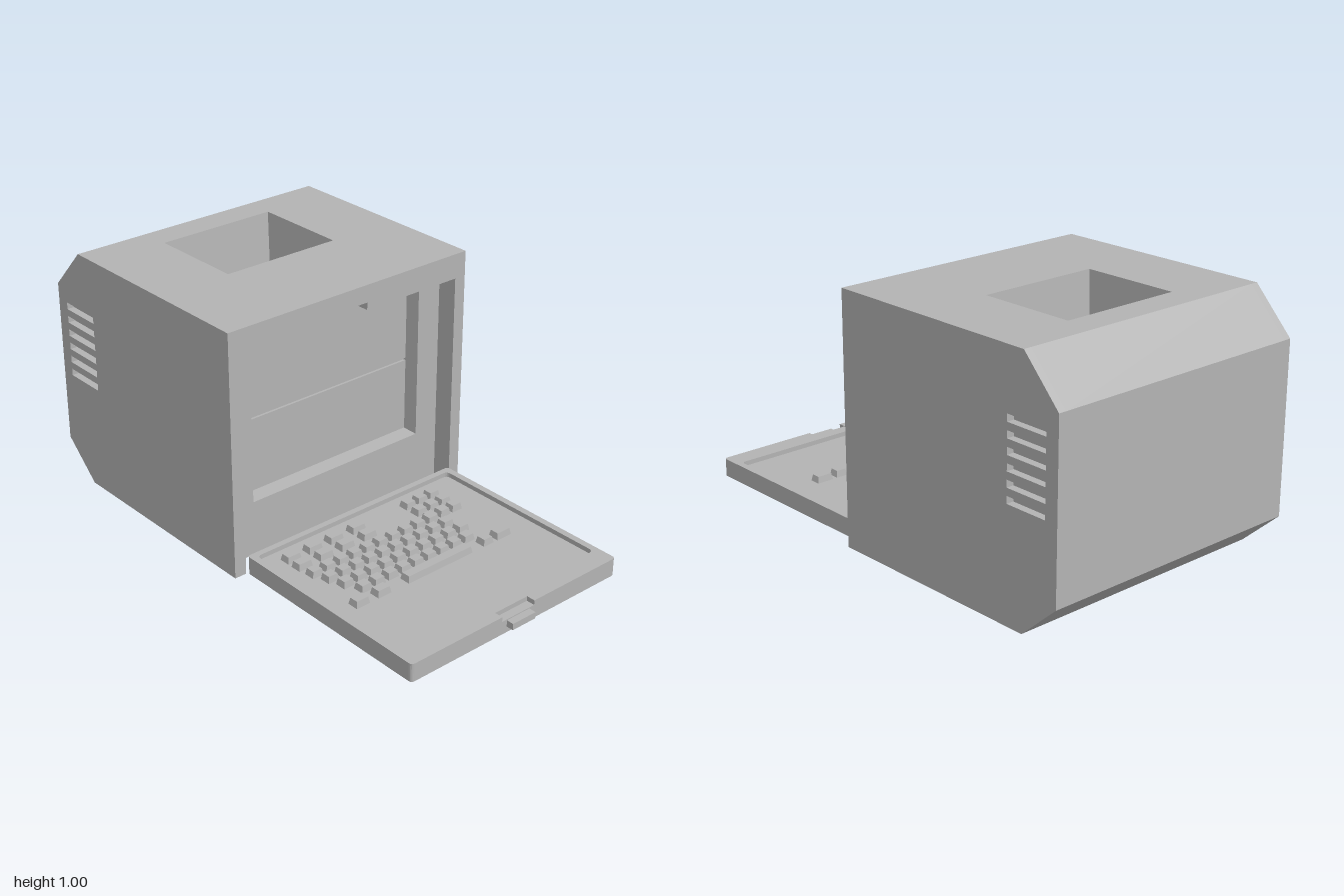
import * as THREE from 'three';

const grey = new THREE.MeshStandardMaterial({ color: 0xb3b3b3 });
grey.name = 'light grey casing';

function add(parent, name, geometry, x = 0, y = 0, z = 0) {
  const mesh = new THREE.Mesh(geometry, grey);
  mesh.name = name;
  mesh.position.set(x, y, z);
  parent.add(mesh);
  return mesh;
}

const polygon = (points) => new THREE.Shape(points.map(([x, y]) => new THREE.Vector2(x, y)));
const rectangle = (x0, y0, x1, y1) => polygon([[x0, y0], [x1, y0], [x1, y1], [x0, y1]]);
const extrude = (shape, depth) =>
  new THREE.ExtrudeGeometry(shape, { depth, bevelEnabled: false, curveSegments: 4 });

// Rounded rectangle, optionally with a notch in its lower edge
function rounded(x, y0, y1, r, notch) {
  const s = new THREE.Shape();
  s.moveTo(-x + r, y0);
  if (notch) {
    s.lineTo(-notch.x, y0);
    s.lineTo(-notch.x, y0 + notch.depth);
    s.lineTo(notch.x, y0 + notch.depth);
    s.lineTo(notch.x, y0);
  }
  s.lineTo(x - r, y0);
  s.quadraticCurveTo(x, y0, x, y0 + r);
  s.lineTo(x, y1 - r);
  s.quadraticCurveTo(x, y1, x - r, y1);
  s.lineTo(-x + r, y1);
  s.quadraticCurveTo(-x, y1, -x, y1 - r);
  s.lineTo(-x, y0 + r);
  s.quadraticCurveTo(-x, y0, -x + r, y0);
  return s;
}

// Tapered pocket with a floor, opening towards +z
function pocket(w0, h0, w1, h1, depth) {
  const ring = (w, h, z) => [[-1, -1], [1, -1], [1, 1], [-1, 1]].map(([x, y]) => [x * w / 2, y * h / 2, z]);
  const a = ring(w0, h0, 0), b = ring(w1, h1, -depth), out = [];
  const quad = (p, q, r, s) => out.push(...p, ...q, ...r, ...p, ...r, ...s);
  for (let i = 0; i < 4; i++) {
    const j = (i + 1) % 4;
    quad(a[i], b[i], b[j], a[j]);
  }
  quad(...b);
  // Walls are wound to face the inside of the pocket
  for (let t = 0; t < 24 * 3; t += 9) {
    for (let k = 0; k < 3; k++) [out[t + 3 + k], out[t + 6 + k]] = [out[t + 6 + k], out[t + 3 + k]];
  }
  const g = new THREE.BufferGeometry();
  g.setAttribute('position', new THREE.Float32BufferAttribute(out, 3));
  g.computeVertexNormals();
  return g;
}

// Key cap with a narrower top
function keyCap(w, d) {
  const g = new THREE.BoxGeometry(w, 0.027, d);
  const p = g.attributes.position;
  for (let i = 0; i < p.count; i++) {
    if (p.getY(i) > 0) {
      p.setX(i, p.getX(i) - Math.sign(p.getX(i)) * 0.005);
      p.setZ(i, p.getZ(i) - Math.sign(p.getZ(i)) * 0.005);
    }
  }
  g.computeVertexNormals();
  return g;
}

function createHousing() {
  const body = new THREE.Group();
  body.name = 'housing';

  // Front frame, open at the bottom, with a latch notch at the top
  const half = [[0.07, 0.93], [0.07, 0.9], [0.515, 0.9], [0.515, 0.01], [0.565, 0.01], [0.565, 1]];
  const mirrored = half.map(([x, y]) => [-x, y]).reverse();
  add(body, 'frontFrame', extrude(polygon([...half, ...mirrored]), 0.085));

  // Side panels with cooling slots
  const side = polygon([[0, 0.01], [0, 1], [-0.84, 1], [-1, 0.83], [-1, 0.155], [-0.84, 0.01]]);
  for (let i = 0; i < 6; i++) {
    const y = 0.453 + i * 0.057;
    side.holes.push(rectangle(-0.945, y, -0.765, y + 0.028));
  }
  const sideGeometry = extrude(side, 0.03).rotateY(-Math.PI / 2);
  add(body, 'rightPanel', sideGeometry, -0.535);
  add(body, 'leftPanel', sideGeometry, 0.565);
  for (const s of [-1, 1]) {
    add(body, 'slotBacking', new THREE.BoxGeometry(0.01, 0.36, 0.22), s * 0.53, 0.61, -0.855);
  }

  // Back, chamfers and underside as one bent shell
  const shell = polygon([[-0.84, 1], [-1, 0.83], [-1, 0.155], [-0.84, 0.01], [0, 0.01],
    [0, 0.03], [-0.83, 0.03], [-0.98, 0.165], [-0.98, 0.82], [-0.84, 0.97]]);
  add(body, 'backShell', extrude(shell, 1.07).rotateY(-Math.PI / 2), 0.535);

  // Top panel with a deep tapered well
  const top = rectangle(-0.535, 0, 0.535, 0.84);
  top.holes.push(rectangle(-0.2525, 0.32, 0.2525, 0.72));
  add(body, 'topPanel', extrude(top, 0.01).rotateX(-Math.PI / 2), 0, 0.99);
  add(body, 'topWell', pocket(0.505, 0.4, 0.46, 0.32, 0.4).rotateX(-Math.PI / 2), 0, 1, -0.52);

  // Bezel and the two-part display recess
  const bezel = rectangle(-0.535, 0.01, 0.535, 0.99);
  bezel.holes.push(rectangle(-0.408, 0.235, 0.408, 0.86));
  add(body, 'bezel', extrude(bezel, 0.01), 0, 0, -0.01);
  add(body, 'displayRecess', pocket(0.816, 0.625, 0.8, 0.611, 0.07), 0, 0.5475, 0);
  add(body, 'upperDisplayPanel', new THREE.BoxGeometry(0.802, 0.303, 0.01), 0, 0.7015, -0.065);
  add(body, 'lowerDisplayPanel', new THREE.BoxGeometry(0.802, 0.298, 0.01), 0, 0.391, -0.065);
  return body;
}

function createKeyboard() {
  const board = new THREE.Group();
  board.name = 'keyboard';
  const flat = (shape, h) => extrude(shape, h).rotateX(-Math.PI / 2);

  // Base slab, raised rim with latch notch, latch tongue
  add(board, 'keyboardBase', flat(rounded(0.507, -0.97, -0.085, 0.015), 0.054), 0, 0.01);
  const rim = rounded(0.507, -0.97, -0.085, 0.015, { x: 0.08, depth: 0.035 });
  rim.holes.push(rounded(0.48, -0.885, -0.11, 0.02));
  add(board, 'keyboardRim', flat(rim, 0.019), 0, 0.064);
  add(board, 'latchTongue', new THREE.BoxGeometry(0.112, 0.026, 0.04), 0, 0.047, 0.98);

  // Underside cover and feet
  add(board, 'bottomCover', flat(rounded(0.43, -0.9, -0.14, 0.02), 0.003), 0, 0.007);
  for (const x of [-0.388, 0.388]) {
    for (const z of [0.18, 0.86]) {
      add(board, 'foot', new THREE.CylinderGeometry(0.023, 0.023, 0.012, 20), x, 0.006, z);
    }
  }

  // Keys
  const key = (x, z, w = 0.05, d = 0.046) => add(board, 'key', keyCap(w, d), x, 0.0765, z);
  for (const z of [0.183, 0.246]) {
    for (const x of [-0.38, -0.278, -0.175, -0.065]) key(x, z, 0.064);
  }
  for (const z of [0.183, 0.246, 0.307]) {
    for (const x of [0.202, 0.264, 0.325]) key(x, z);
  }
  const rows = [[-0.38, 0.315, 10], [-0.358, 0.376, 10], [-0.338, 0.438, 10], [-0.307, 0.5, 9]];
  for (const [x, z, n] of rows) {
    for (let i = 0; i < n; i++) key(x + i * 0.0638, z);
  }
  for (const [x, w] of [[-0.38, 0.062], [-0.278, 0.062], [-0.003, 0.32], [0.242, 0.05], [0.323, 0.072]]) {
    key(x, 0.561, w);
  }
  return board;
}

export function createModel() {
  const model = new THREE.Group();
  model.name = 'portableComputer';
  model.add(createHousing(), createKeyboard());
  return model;
}
